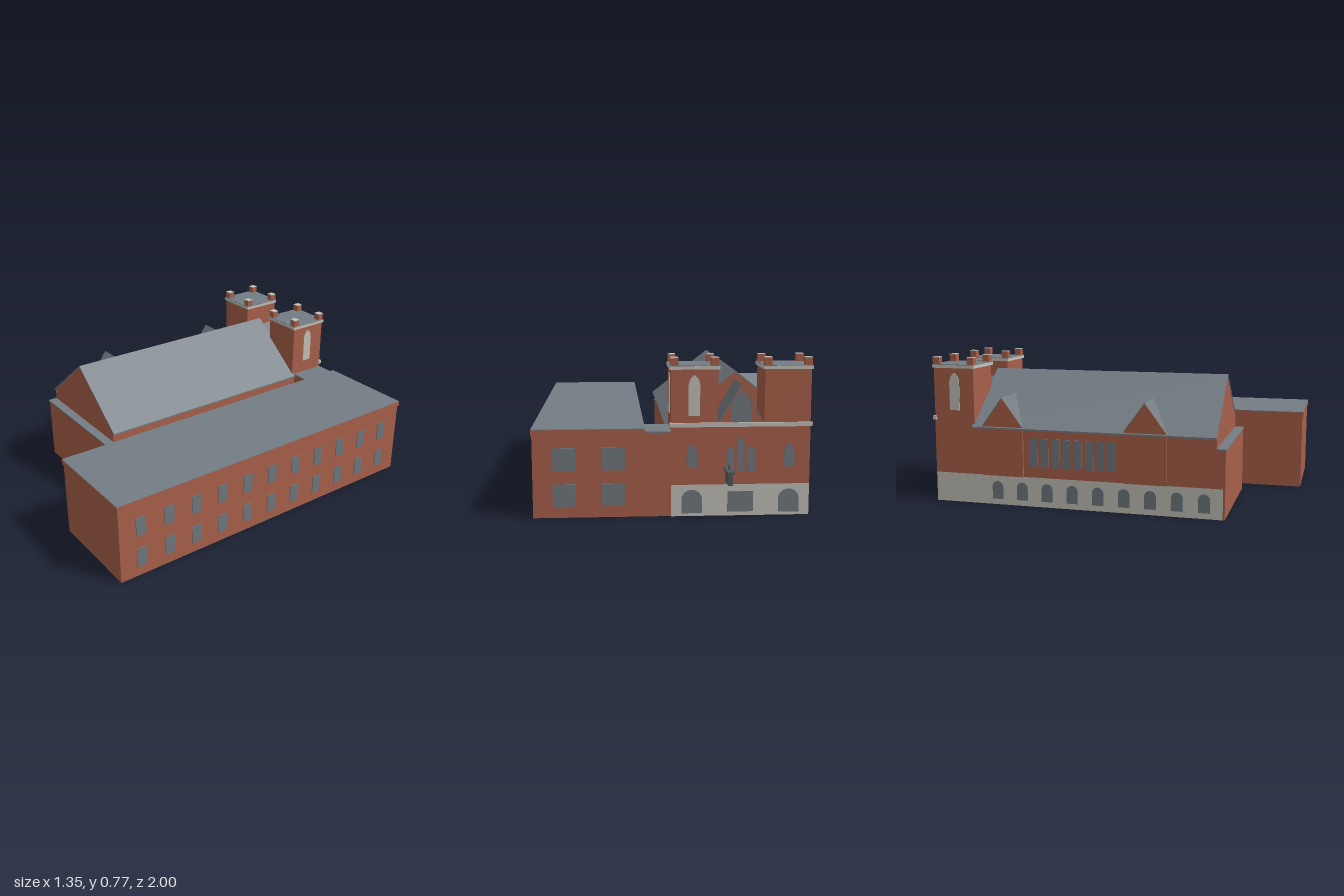
import * as THREE from 'three';

const mat = (name, color, side = THREE.FrontSide) => {
  const m = new THREE.MeshStandardMaterial({ color, side });
  m.name = name;
  return m;
};

export function createModel() {
  const brick = mat('brick', 0xa9604a);
  const slate = mat('slate', 0x757e85, THREE.DoubleSide);
  const stone = mat('pale stone', 0xc3c1b9);
  const glass = mat('window glass', 0x70797f);
  const iron = mat('iron', 0x54585b);

  const model = new THREE.Group();
  model.name = 'churchAndSchool';

  const add = (name, geo, material, parent = model) => {
    const mesh = new THREE.Mesh(geo, material);
    mesh.name = name;
    parent.add(mesh);
    return mesh;
  };
  // Box given by its minimum and maximum on each axis
  const box = (name, material, x0, x1, y0, y1, z0, z1) => {
    const mesh = add(name, new THREE.BoxGeometry(x1 - x0, y1 - y0, z1 - z0), material);
    mesh.position.set((x0 + x1) / 2, (y0 + y1) / 2, (z0 + z1) / 2);
    return mesh;
  };
  const polygon = (pts) => new THREE.Shape(pts.map(([x, y]) => new THREE.Vector2(x, y)));
  const extrude = (shape, depth) =>
    new THREE.ExtrudeGeometry(shape, { depth, bevelEnabled: false, curveSegments: 8 });

  // Thin window plate: flat, round or pointed head; turn is its facing
  const pane = (name, material, head, w, h, x, y, z, turn) => {
    const r = w / 2, s = new THREE.Shape();
    s.moveTo(-r, 0);
    s.lineTo(r, 0);
    if (head === 'round') {
      s.lineTo(r, h - r);
      s.absarc(0, h - r, r, 0, Math.PI, false);
    } else if (head === 'pointed') {
      s.lineTo(r, h - w);
      s.quadraticCurveTo(r, h - w * 0.35, 0, h);
      s.quadraticCurveTo(-r, h - w * 0.35, -r, h - w);
    } else {
      s.lineTo(r, h);
      s.lineTo(-r, h);
    }
    const mesh = add(name, extrude(s, 0.004), material);
    mesh.position.set(x, y, z);
    mesh.rotation.y = turn;
  };
  const LEFT = Math.PI / 2, RIGHT = -Math.PI / 2, BACK = Math.PI;

  // Hollow rectangle of walls, open below
  const T = 0.01;
  const walls = (name, material, x0, x1, y0, y1, z0, z1) => {
    box(name, material, x0, x0 + T, y0, y1, z0, z1);
    box(name, material, x1 - T, x1, y0, y1, z0, z1);
    box(name, material, x0 + T, x1 - T, y0, y1, z0, z0 + T);
    box(name, material, x0 + T, x1 - T, y0, y1, z1 - T, z1);
  };
  const gableRoof = (name, cx, half, y0, y1, z0, z1, t) => {
    const roof = add(name, extrude(polygon([
      [-half, y0], [0, y1], [half, y0], [half, y0 - t], [0, y1 - t], [-half, y0 - t],
    ]), z1 - z0), slate);
    roof.position.set(cx, 0, z0);
  };

  // Long flat-roofed wing
  walls('wingWall', brick, 0.14, 0.67, 0, 0.4, -0.855, 0.995);
  walls('wingParapet', brick, 0.133, 0.675, 0.4, 0.428, -0.862, 1);
  box('wingRoof', slate, 0.134, 0.674, 0.424, 0.431, -0.861, 0.999);
  for (const y of [0.055, 0.23]) {
    for (let i = 0; i < 11; i++) {
      pane('wingSideWindow', glass, 'flat', 0.055, 0.1, 0.67, y, 0.875 - i * 0.1605, LEFT);
    }
    for (const x of [0.285, 0.52]) {
      pane('wingBackWindow', glass, 'flat', 0.11, 0.11, x, y, -0.855, BACK);
    }
  }

  // Link between the wing and the church
  box('linkBackWall', brick, 0.01, 0.14, 0, 0.41, -0.855, -0.845);
  box('linkFrontWall', brick, 0.01, 0.14, 0, 0.41, -0.665, -0.655);
  box('linkRoof', slate, 0.01, 0.135, 0.41, 0.416, -0.86, -0.65);

  // Nave walls: pale base on the sides and back, brick above and in front
  const W = -0.66, E = 0.01, CX = -0.325;
  for (const x of [W, E - T]) {
    box('naveBase', stone, x, x + T, 0, 0.155, -0.86, 0.67);
    box('naveSideWall', brick, x, x + T, 0.155, 0.41, -0.86, 0.635);
    box('apseSideWall', brick, x, x + T, 0.155, 0.35, 0.635, 0.67);
  }
  box('apseFrontWall', brick, W, E, 0, 0.35, 0.67, 0.68);
  box('apseRoof', slate, W - 0.004, E + 0.004, 0.347, 0.354, 0.63, 0.684);

  // Gable ends and main roof
  for (const z of [0.624, -0.64]) {
    add('naveGable', extrude(polygon([
      [W, 0.35], [E, 0.35], [E, 0.415], [CX, 0.673], [W, 0.415],
    ]), T), brick).position.z = z;
  }
  gableRoof('naveRoof', CX, 0.35, 0.409, 0.682, -0.645, 0.637, 0.008);

  // Side dormers
  for (const z of [-0.475, 0.28]) {
    const face = add('dormerWall', extrude(polygon([
      [-0.11, 0.155], [0.11, 0.155], [0.11, 0.413], [0, 0.561], [-0.11, 0.413],
    ]), 0.012), brick);
    face.position.set(-0.658, 0, z);
    face.rotation.y = RIGHT;
    const g = new THREE.BufferGeometry();
    g.setAttribute('position', new THREE.Float32BufferAttribute([
      -0.675, 0.409, -0.117, -0.675, 0.567, 0, -0.482, 0.567, 0,
      -0.675, 0.409, 0.117, -0.482, 0.567, 0, -0.675, 0.567, 0,
    ], 3));
    g.computeVertexNormals();
    add('dormerRoof', g, slate).position.z = z;
  }

  // Nave windows
  for (let i = 0; i < 9; i++) {
    pane('basementWindow', glass, 'round', 0.06, 0.095, W, 0.03, -0.51 + i * 0.136, RIGHT);
  }
  for (let i = 0; i < 8; i++) {
    pane('naveWindow', glass, 'flat', 0.042, 0.15, W, 0.21, -0.31 + i * 0.06, RIGHT);
  }

  // Entrance front at the back
  const F = -0.86;
  box('entranceBase', stone, W, E, 0, 0.155, F, F + T);
  box('entranceWall', brick, W, E, 0.155, 0.44, F, F + T);
  box('entranceBand', stone, W - 0.008, E + 0.008, 0.436, 0.456, F - 0.008, F + 0.012);
  for (const x of [-0.09, -0.56]) {
    pane('entranceArch', glass, 'round', 0.1, 0.115, x, 0.015, F, BACK);
    pane('entranceWindow', glass, 'pointed', 0.05, 0.115, x, 0.24, F, BACK);
  }
  pane('entranceDoor', glass, 'flat', 0.125, 0.1, CX, 0.02, F, BACK);
  for (const [dx, h] of [[-0.05, 0.125], [0, 0.165], [0.05, 0.125]]) {
    pane('middleWindow', glass, 'pointed', 0.036, h, CX + dx, 0.22, F, BACK);
  }

  // Steep gable between the towers
  add('entranceGable', extrude(polygon([
    [-0.11, 0.44], [0.11, 0.44], [0, 0.63],
  ]), 0.21), brick).position.set(CX, 0, F + 0.005);
  gableRoof('entranceGableRoof', CX, 0.11, 0.452, 0.64, F, -0.64, 0.008);
  pane('gableWindow', glass, 'pointed', 0.1, 0.145, CX, 0.46, F + 0.005, BACK);

  // Twin towers
  for (const [x0, x1] of [[W, -0.437], [-0.213, E]]) {
    const z0 = F + 0.002, z1 = -0.635;
    box('tower', brick, x0, x1, 0.4, 0.715, z0, z1);
    box('towerBand', stone, x0 - 0.008, x1 + 0.008, 0.71, 0.726, z0 - 0.006, z1 + 0.008);
    box('towerRoof', slate, x0 - 0.007, x1 + 0.007, 0.726, 0.729, z0 - 0.005, z1 + 0.007);
    for (const x of [x0 - 0.003, x1 - 0.033]) {
      for (const z of [z0 - 0.003, z1 - 0.033]) {
        box('cornerBlock', brick, x, x + 0.036, 0.715, 0.764, z, z + 0.036);
        box('cornerCap', stone, x, x + 0.036, 0.764, 0.768, z, z + 0.036);
      }
    }
  }
  pane('towerWindow', stone, 'pointed', 0.055, 0.195, E, 0.49, -0.743, LEFT);
  pane('towerWindow', stone, 'pointed', 0.055, 0.195, W, 0.49, -0.743, RIGHT);
  pane('towerWindow', stone, 'pointed', 0.055, 0.195, -0.1, 0.49, F + 0.002, BACK);

  // Hanging sign on its bracket
  const S = -0.26;
  box('signBoard', iron, S - 0.011, S + 0.011, 0.178, 0.235, -0.985, -0.885);
  box('signTopRail', iron, S - 0.017, S + 0.017, 0.235, 0.245, -0.995, -0.875);
  box('signArm', iron, S - 0.004, S + 0.004, 0.237, 0.243, -1, F);
  box('signBrace', iron, S - 0.003, S + 0.003, 0.188, 0.193, -0.885, F);
  box('signCrossRail', iron, S - 0.026, S + 0.026, 0.236, 0.243, -0.945, -0.925);
  box('signFinial', iron, S - 0.003, S + 0.003, 0.24, 0.268, -0.938, -0.932);
  box('signFinialBar', iron, S - 0.003, S + 0.003, 0.255, 0.26, -0.944, -0.926);

  return model;
}
